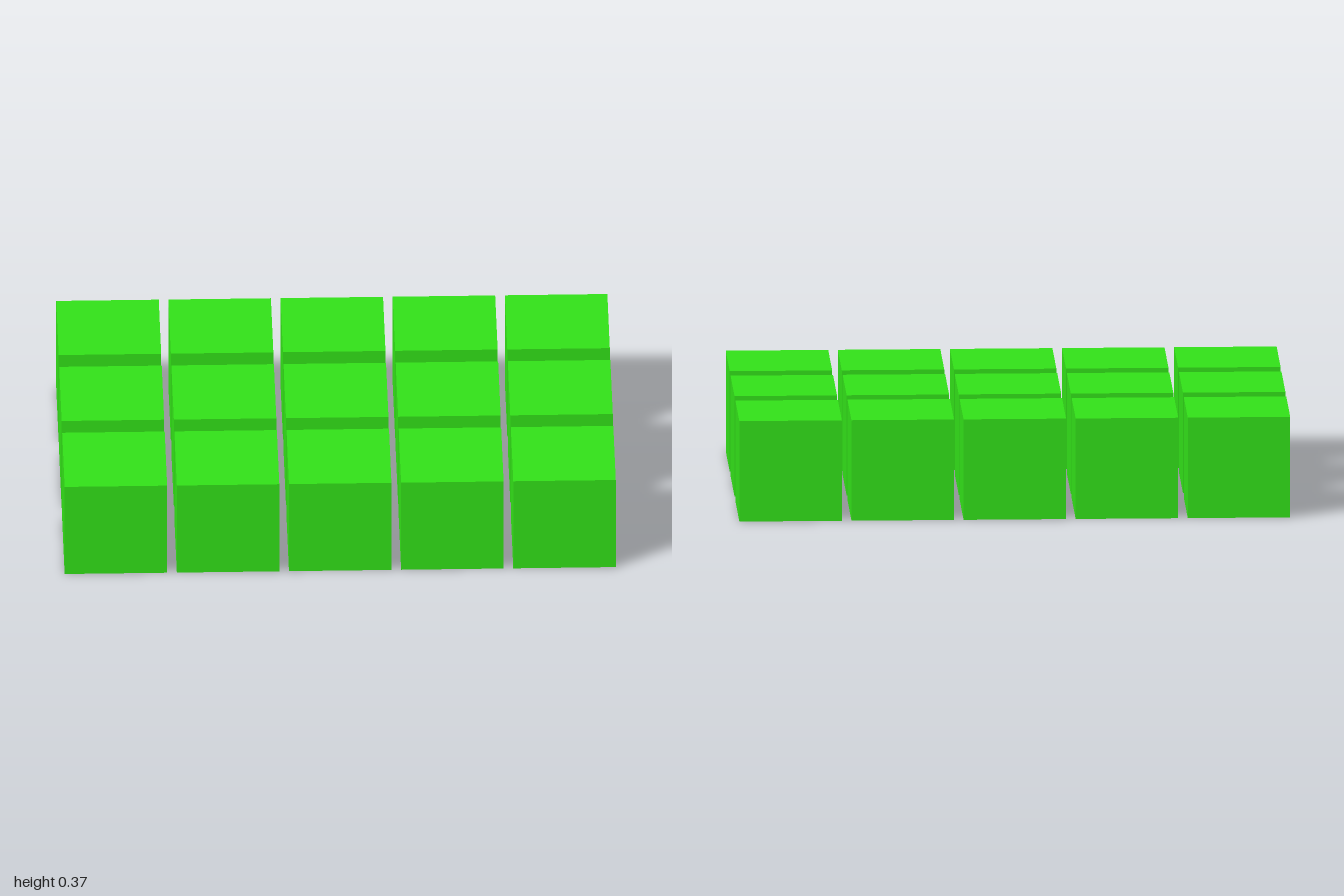
import * as THREE from 'three';

const SIZE = 0.372;      // cube edge
const PITCH_X = 0.407;   // column spacing
const PITCH_Z = 0.453;   // row spacing
const COLUMNS = 5;
const ROWS = 3;

export function createModel() {
  const model = new THREE.Group();
  model.name = 'cubeGrid';

  const geometry = new THREE.BoxGeometry(SIZE, SIZE, SIZE);
  const green = new THREE.MeshStandardMaterial({ color: 0x32e018 });

  // Rows of separate cubes, standing on the ground and centred
  for (let r = 0; r < ROWS; r++) {
    const row = new THREE.Group();
    row.name = `row${r + 1}`;
    row.position.z = (r - (ROWS - 1) / 2) * PITCH_Z;
    for (let c = 0; c < COLUMNS; c++) {
      const cube = new THREE.Mesh(geometry, green);
      cube.name = `cube${c + 1}`;
      cube.position.set((c - (COLUMNS - 1) / 2) * PITCH_X, SIZE / 2, 0);
      row.add(cube);
    }
    model.add(row);
  }
  return model;
}
